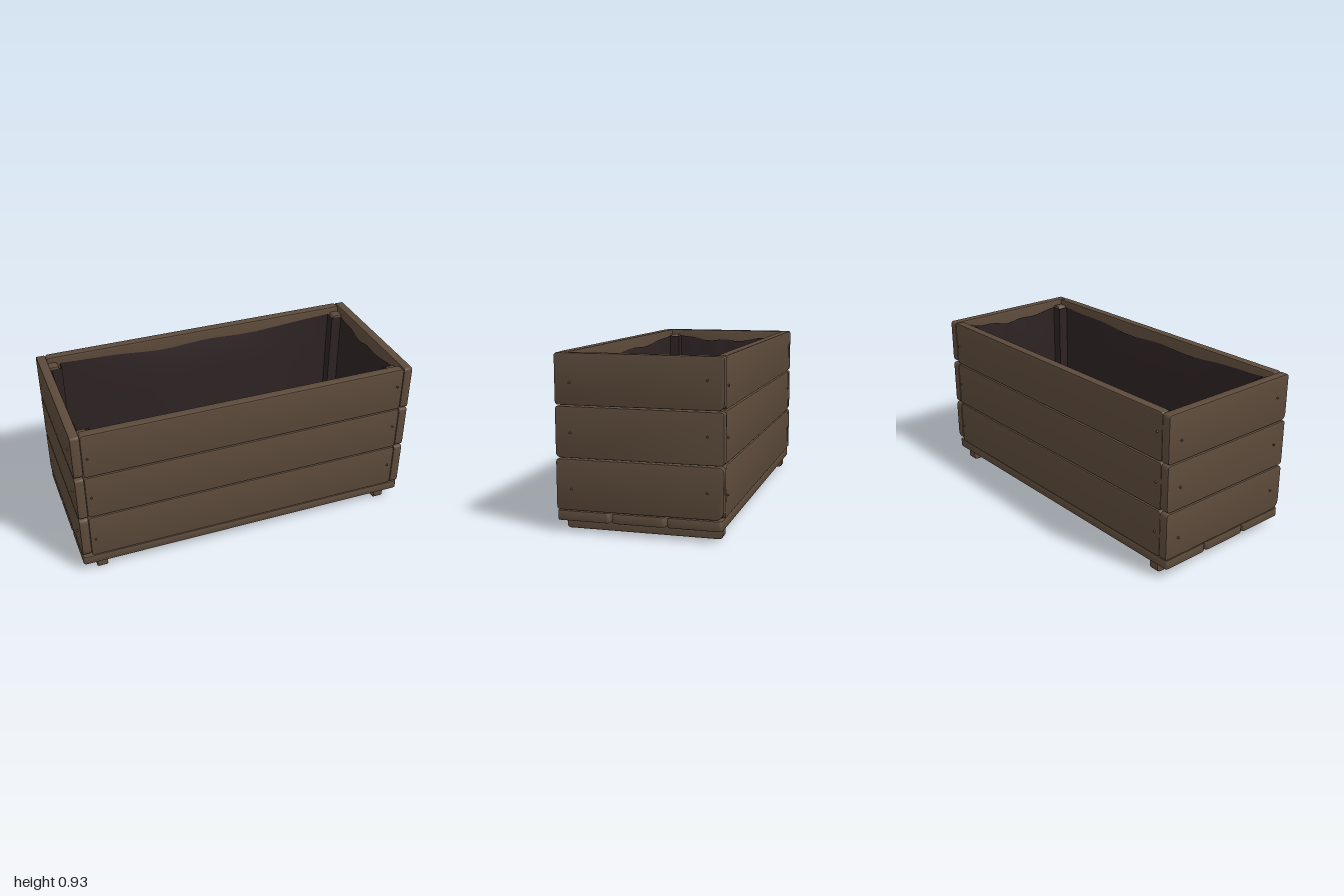
import * as THREE from 'three';
import { toCreasedNormals } from 'three/addons/utils/BufferGeometryUtils.js';

const wood = new THREE.MeshStandardMaterial({ color: 0x5d4b3b });
wood.name = 'weathered wood';
const cloth = new THREE.MeshStandardMaterial({ color: 0x2d2223, side: THREE.DoubleSide });
cloth.name = 'dark liner cloth';

// Plank in the XY plane, w by h, t thick; cuts are the corner sizes (bl, br, tr, tl)
function plankGeometry(w, h, t, cuts = [0.012, 0.012, 0.012, 0.012], b = 0.006) {
  const x = w / 2 - b, y = h / 2 - b;
  const [bl, br, tr, tl] = cuts;
  const s = new THREE.Shape();
  s.moveTo(-x + bl, -y);
  s.lineTo(x - br, -y);
  s.quadraticCurveTo(x, -y, x, -y + br);
  s.lineTo(x, y - tr);
  s.quadraticCurveTo(x, y, x - tr, y);
  s.lineTo(-x + tl, y);
  s.quadraticCurveTo(-x, y, -x, y - tl);
  s.lineTo(-x, -y + bl);
  s.quadraticCurveTo(-x, -y, -x + bl, -y);
  const depth = t - 2 * b;
  const g = new THREE.ExtrudeGeometry(s, {
    depth, bevelThickness: b, bevelSize: b, bevelSegments: 2, curveSegments: 4,
  });
  g.translate(0, 0, -depth / 2);
  return toCreasedNormals(g, 0.7);
}

function add(parent, name, geometry, material, x, y, z, ry = 0) {
  const m = new THREE.Mesh(geometry, material);
  m.name = name;
  m.position.set(x, y, z);
  m.rotation.y = ry;
  parent.add(m);
  return m;
}

// Cloth bag: notched loops around the corner posts, sagging rim, bulging sides
function linerGeometry() {
  const X = 0.93, Z = 0.388, n = 0.066, N = 20;
  const loop = [];
  const side = (x0, z0, x1, z1, nx, nz) => {
    for (let i = 0; i <= N; i++) {
      const u = i / N;
      loop.push({ x: x0 + (x1 - x0) * u, z: z0 + (z1 - z0) * u, nx, nz, u, bow: Math.sin(Math.PI * u) });
    }
  };
  const notch = (sx, sz) =>
    loop.push({ x: sx * (X - n), z: sz * (Z - n), nx: 0, nz: 0, u: 0, bow: 0 });
  side(n - X, Z, X - n, Z, 0, -1);
  notch(1, 1);
  side(X, Z - n, X, n - Z, -1, 0);
  notch(1, -1);
  side(X - n, -Z, n - X, -Z, 0, 1);
  notch(-1, -1);
  side(-X, n - Z, -X, Z - n, 1, 0);
  notch(-1, 1);

  const rows = 8, bottom = 0.13, pos = [], index = [], L = loop.length;
  for (let j = 0; j <= rows; j++) {
    const t = j / rows;
    for (const p of loop) {
      const rim = 0.89 - 0.03 * p.bow + 0.008 * p.bow * Math.sin(p.u * 17 + p.x);
      const reach = p.nx ? 0.016 : 0.055;
      const inset = 0.004 + p.bow * reach * Math.sqrt(t) + 0.004 * p.bow * Math.sin(p.u * 22);
      pos.push(p.x + p.nx * inset, rim + (bottom - rim) * t, p.z + p.nz * inset);
    }
  }
  for (let j = 0; j < rows; j++) {
    for (let i = 0; i < L; i++) {
      const a = j * L + i, b = j * L + (i + 1) % L;
      index.push(a, b, a + L, b, b + L, a + L);
    }
  }
  // floor of the bag
  const c = pos.length / 3;
  pos.push(0, bottom, 0);
  for (let i = 0; i < L; i++) index.push(rows * L + i, rows * L + (i + 1) % L, c);
  const g = new THREE.BufferGeometry();
  g.setAttribute('position', new THREE.Float32BufferAttribute(pos, 3));
  g.setIndex(index);
  return toCreasedNormals(g, 0.8);
}

export function createModel() {
  const model = new THREE.Group();
  model.name = 'planterBox';

  // Wall boards: three courses on each side
  const courses = [[0.118, 0.386], [0.392, 0.658], [0.664, 0.93]];
  const endCuts = [
    [0.012, 0.045, 0.025, 0.012],
    [0.022, 0.012, 0.012, 0.012],
    [0.012, 0.03, 0.012, 0.012],
  ];
  const walls = new THREE.Group();
  walls.name = 'wallBoards';
  model.add(walls);
  courses.forEach(([y0, y1], i) => {
    const y = (y0 + y1) / 2, h = y1 - y0;
    const long = plankGeometry(1.876, h, 0.052);
    const end = plankGeometry(0.886, h, 0.052, endCuts[i]);
    add(walls, 'frontBoard', long, wood, 0, y, 0.415);
    add(walls, 'backBoard', long, wood, 0, y, -0.415, Math.PI);
    add(walls, 'leftEndBoard', end, wood, 0.965, y, 0, Math.PI / 2);
    add(walls, 'rightEndBoard', end, wood, -0.965, y, 0, -Math.PI / 2);
  });

  // Base boards lying flat
  const base = new THREE.Group();
  base.name = 'baseBoards';
  model.add(base);
  for (const [z0, z1] of [[-0.435, -0.15], [-0.14, 0.144], [0.156, 0.441]]) {
    const g = plankGeometry(1.98, z1 - z0, 0.054).rotateX(-Math.PI / 2);
    add(base, 'baseBoard', g, wood, 0, 0.0875, (z0 + z1) / 2);
  }

  // Foot runners and corner posts
  const foot = plankGeometry(0.842, 0.062, 0.062, [0.015, 0.02, 0.008, 0.008]);
  for (const s of [-1, 1]) add(model, 'footRunner', foot, wood, s * 0.88, 0.031, 0, Math.PI / 2);
  const post = plankGeometry(0.06, 0.785, 0.06);
  for (const sx of [-1, 1]) for (const sz of [-1, 1]) {
    add(model, 'cornerPost', post, wood, sx * 0.908, 0.5075, sz * 0.36);
  }

  add(model, 'liner', linerGeometry(), cloth, 0, 0, 0);

  // Nail heads, two per board end
  const nail = new THREE.CylinderGeometry(0.005, 0.007, 0.014, 10).rotateX(Math.PI / 2);
  const nails = new THREE.Group();
  nails.name = 'nails';
  model.add(nails);
  const lowY = [0.23, 0.522, 0.78], highY = [0.253, 0.536, 0.812];
  for (const s of [-1, 1]) {
    const endTurn = s * Math.PI / 2, longTurn = s > 0 ? 0 : Math.PI;
    for (let i = 0; i < 3; i++) {
      add(nails, 'endNail', nail, wood, s * 0.993, lowY[i], s * 0.36, endTurn);
      add(nails, 'endNail', nail, wood, s * 0.993, highY[i], s * -0.358, endTurn);
      add(nails, 'longNail', nail, wood, s * 0.905, highY[i] + 0.008, s * 0.443, longTurn);
      add(nails, 'longNail', nail, wood, s * -0.91, lowY[i] + 0.003, s * 0.443, longTurn);
    }
  }
  return model;
}
